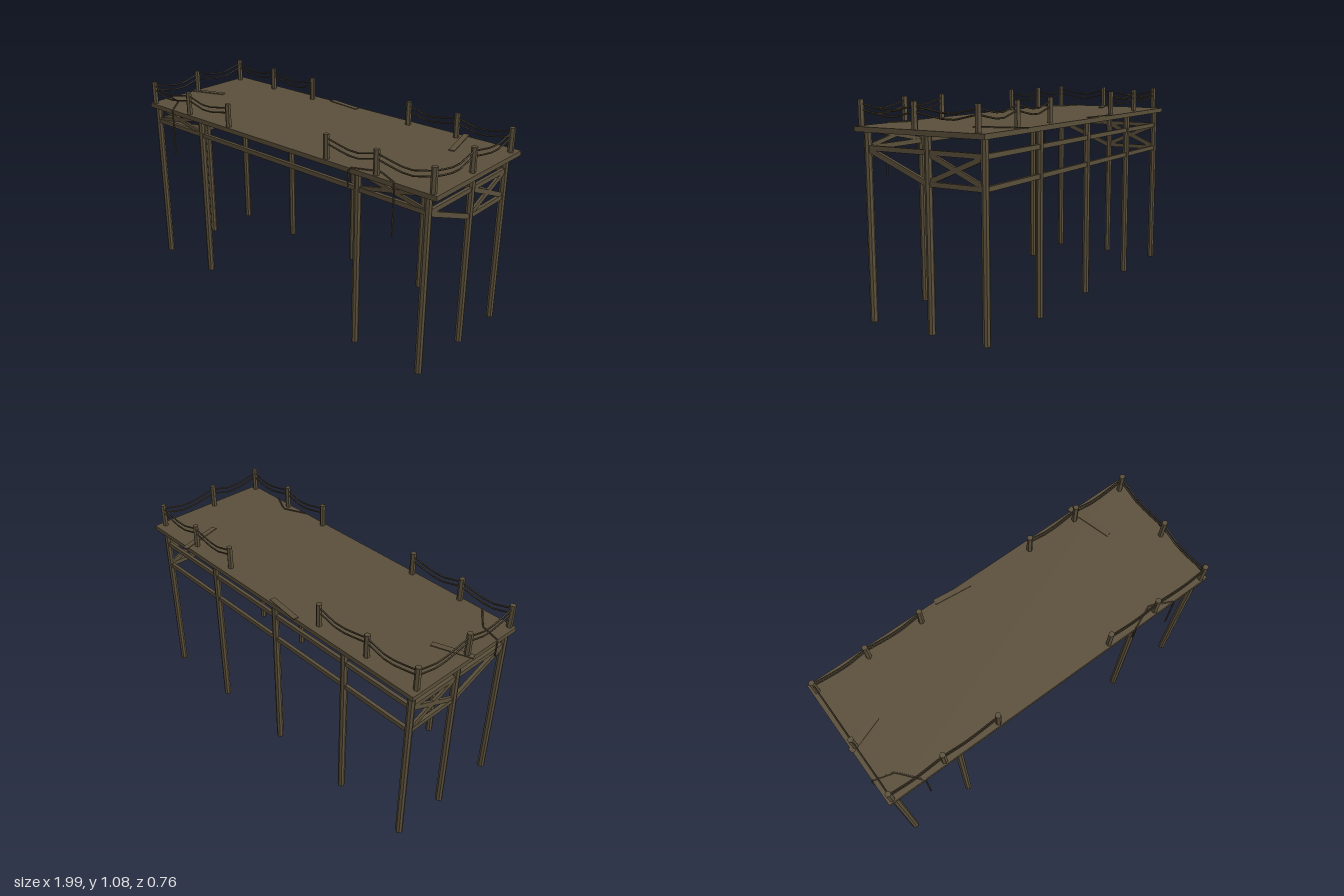
import * as THREE from 'three';

const wood = new THREE.MeshStandardMaterial({ color: 0x5a4f3a, flatShading: true });
wood.name = 'weatheredWood';
const ropeMat = new THREE.MeshStandardMaterial({ color: 0x4c4230, flatShading: true });
ropeMat.name = 'oldRope';

const V = (x, y, z) => new THREE.Vector3(x, y, z);

export function createModel() {
  const model = new THREE.Group();

  const add = (name, geo, mat = wood) => {
    const mesh = new THREE.Mesh(geo, mat);
    mesh.name = name;
    model.add(mesh);
    return mesh;
  };

  // Upright pole standing at (x, z)
  const pole = (name, x, z, y0, y1, r, sides) =>
    add(name, new THREE.CylinderGeometry(r, r, y1 - y0, sides)).position.set(x, (y0 + y1) / 2, z);

  // Rectangular timber between two points
  const beam = (name, a, b, width, height) => {
    const mesh = add(name, new THREE.BoxGeometry(width, height, a.distanceTo(b)));
    mesh.position.copy(a).add(b).multiplyScalar(0.5);
    mesh.lookAt(b);
  };

  // Rope with straight segments through the given points
  const rope = (name, points, r) => {
    const path = new THREE.CurvePath();
    for (let i = 1; i < points.length; i++) path.add(new THREE.LineCurve3(points[i - 1], points[i]));
    add(name, new THREE.TubeGeometry(path, (points.length - 1) * 6, r, 5), ropeMat);
  };

  // Deck
  add('deck', new THREE.BoxGeometry(1.975, 0.025, 0.73)).position.set(0.0085, 0.9425, 0.004);

  // Legs
  const xl = -0.942, xr = 0.937, zf = 0.34, zm = -0.015, zb = -0.323;
  for (const x of [xl, -0.565, 0.542, xr]) pole('frontLeg', x, zf, 0, 0.932, 0.019, 8);
  for (const x of [xl, xr]) pole('middleLeg', x, zm, 0, 0.932, 0.019, 8);
  for (const x of [xl, -0.523, -0.02, 0.475, xr]) pole('backLeg', x, zb, 0, 0.932, 0.019, 8);

  // Long rails under the deck
  beam('frontRail', V(xl, 0.851, zf), V(xr, 0.851, zf), 0.018, 0.024);
  beam('backUpperRail', V(xl, 0.851, zb), V(xr, 0.851, zb), 0.018, 0.024);
  beam('backLowerRail', V(xl, 0.708, zb), V(xr, 0.708, zb), 0.018, 0.024);

  // Cross braces between the outer front legs
  for (const [a, b] of [[xl, -0.565], [0.542, xr]]) {
    beam('frontBrace', V(a, 0.857, zf), V(b, 0.938, zf), 0.012, 0.02);
    beam('frontBrace', V(a, 0.938, zf), V(b, 0.857, zf), 0.012, 0.02);
  }

  // End frames
  for (const x of [xl, xr]) {
    beam('endUpperRail', V(x, 0.851, zf), V(x, 0.851, zb), 0.018, 0.024);
    beam('endLowerRail', V(x, 0.708, zm), V(x, 0.708, zb), 0.018, 0.024);
    beam('endDiagonal', V(x, 0.847, zf), V(x, 0.706, zm), 0.018, 0.026);
    beam('endBrace', V(x, 0.714, zm), V(x, 0.847, zb), 0.014, 0.025);
    beam('endBrace', V(x, 0.847, zm), V(x, 0.714, zb), 0.014, 0.025);
  }

  // Railing posts, strung with two sagging ropes between neighbours
  const pl = -0.952, pr = 0.965, pf = 0.35, pb = -0.31;
  const runs = [
    [[-0.332, pf], [-0.65, pf], [pl, pf], [pl, 0.035], [pl, pb], [-0.65, pb], [-0.332, pb]],
    [[0.355, pf], [0.655, pf], [pr, pf], [pr, 0.035], [pr, pb], [0.655, pb], [0.355, pb]],
  ];
  for (const run of runs) {
    run.forEach(([x, z], i) => {
      pole('railingPost', x, z, 0.95, 1.08, 0.0155, 6);
      if (i === 0) return;
      const [px, pz] = run[i - 1];
      for (const top of [1.06, 1.033]) {
        const sag = [[0, 0], [0.28, 0.018], [0.45, 0.027], [0.65, 0.028], [1, 0]];
        rope('railingRope', sag.map(([t, d]) => V(px + (x - px) * t, top - d, pz + (z - pz) * t)), 0.0045);
      }
    });
  }

  // Loose ropes lying on the deck and hanging over its edge
  rope('looseRope', [V(-0.98, 0.86, 0.222), V(-0.982, 0.957, 0.222), V(-0.87, 0.957, 0.255),
    V(-0.775, 0.957, 0.371), V(-0.775, 0.69, 0.373)], 0.0045);
  rope('looseRope', [V(0.508, 0.86, 0.373), V(0.508, 0.957, 0.371), V(0.65, 0.957, 0.31),
    V(0.772, 0.957, 0.371), V(0.772, 0.69, 0.373)], 0.0045);

  // Loose boards on the deck
  const boards = [[-0.985, 0.045, -0.79, -0.025], [-0.22, -0.357, -0.015, -0.335], [0.675, -0.38, 0.745, -0.13]];
  for (const [x0, z0, x1, z1] of boards)
    beam('looseBoard', V(x0, 0.957, z0), V(x1, 0.957, z1), 0.03, 0.005);

  return model;
}
